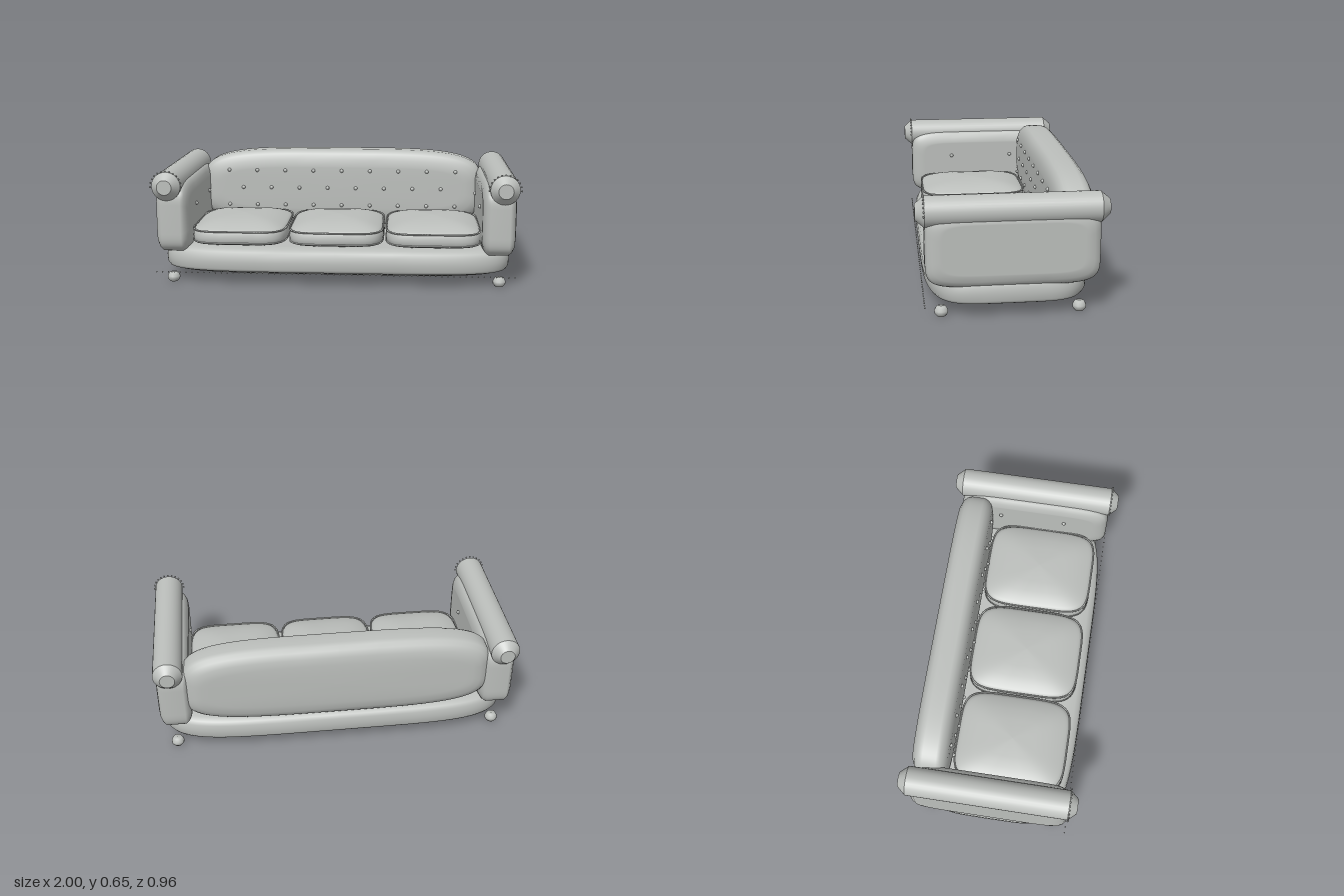
import * as THREE from 'three';
import { mergeGeometries } from 'three/addons/utils/BufferGeometryUtils.js';

const upholstery = new THREE.MeshStandardMaterial({ color: 0xbcbfbc });
upholstery.name = 'grey upholstery';

// Point on a rounded-rectangle (superellipse) outline
function outline(a, b, n, t) {
  const c = Math.cos(t), s = Math.sin(t);
  return [
    a * Math.sign(c) * Math.abs(c) ** (2 / n),
    b * Math.sign(s) * Math.abs(s) ** (2 / n),
  ];
}

// Soft padded block: outlines stacked along y by [inset, height], closed with domed caps
function pad(a, b, n, profile, crownTop = 0, crownBottom = 0, seg = 96) {
  const first = profile[0], last = profile[profile.length - 1];
  const caps = [0.95, 0.85, 0.7, 0.45, 0.001];
  const dome = ([inset, y], crown) => caps.map((s) => [inset, y + crown * (1 - s ** 3), s]);
  const rings = [
    ...dome(first, -crownBottom).reverse(),
    ...profile.map(([inset, y]) => [inset, y, 1]),
    ...dome(last, crownTop),
  ];
  const pos = [], index = [];
  rings.forEach(([inset, y, s], i) => {
    for (let j = 0; j < seg; j++) {
      const [x, z] = outline((a - inset) * s, (b - inset) * s, n, (j / seg) * Math.PI * 2);
      pos.push(x, y, z);
      if (i === rings.length - 1) continue;
      const p = i * seg + j, q = i * seg + ((j + 1) % seg);
      index.push(p, p + seg, q, q, p + seg, q + seg);
    }
  });
  const g = new THREE.BufferGeometry();
  g.setAttribute('position', new THREE.Float32BufferAttribute(pos, 3));
  g.setIndex(index);
  g.computeVertexNormals();
  return g;
}

// Thin cord following an outline at height y
function piping(a, b, n, y, r) {
  const pts = [];
  for (let j = 0; j < 64; j++) {
    const [x, z] = outline(a, b, n, (j / 64) * Math.PI * 2);
    pts.push(new THREE.Vector3(x, y, z));
  }
  return new THREE.TubeGeometry(new THREE.CatmullRomCurve3(pts, true), 128, r, 6, true);
}

// Many small round heads merged into one geometry
function studs(points, r) {
  return mergeGeometries(points.map(([x, y, z]) => new THREE.SphereGeometry(r, 10, 8).translate(x, y, z)));
}

export function createModel() {
  const group = new THREE.Group();
  const add = (name, geometry, x = 0, y = 0, z = 0) => {
    const m = new THREE.Mesh(geometry, upholstery);
    m.name = name;
    m.position.set(x, y, z);
    group.add(m);
    return m;
  };

  // Base with a recessed underside lip
  add('base', pad(0.97, 0.435, 5, [
    [0.12, 0.05], [0.07, 0.055], [0.04, 0.065], [0.03, 0.073], [0.012, 0.077], [0.003, 0.092],
    [0, 0.13], [0.004, 0.165], [0.015, 0.185], [0.04, 0.198], [0.08, 0.203],
  ]), 0, 0, 0.003);

  // Back rest, thinning toward its rim
  const back = pad(0.84, 0.2325, 4, [
    [0.1, -0.441], [0.06, -0.437], [0.025, -0.42], [0.008, -0.4], [0, -0.375],
    [0, -0.3], [0.008, -0.28], [0.025, -0.26], [0.06, -0.245], [0.1, -0.241],
  ], 0.002, 0.004);
  add('backRest', back.rotateX(Math.PI / 2), 0, 0.4225, 0);

  // Back buttons in staggered rows
  const buttons = [];
  [[0.53, 9], [0.425, 8], [0.32, 9]].forEach(([y, count]) => {
    for (let i = 0; i < count; i++) buttons.push([(i - (count - 1) / 2) * 0.17, y, -0.238]);
  });
  add('backButtons', studs(buttons, 0.011));

  // Three seat cushions with piped edges
  for (const x of [-0.54, 0, 0.54]) {
    add('seatCushion', pad(0.265, 0.315, 5, [
      [0.04, 0.208], [0.012, 0.216], [0.002, 0.228], [0, 0.25], [0.002, 0.275], [0.01, 0.29], [0.022, 0.297],
    ], 0.041), x, 0, 0.075);
    for (const y of [0.225, 0.29]) add('cushionPiping', piping(0.262, 0.312, 5, y, 0.005), x, 0, 0.075);
  }

  for (const side of [1, -1]) {
    // Arm panel, symmetric about its own middle
    const panel = pad(0.2, 0.436, 6, [
      [0.065, -0.09], [0.035, -0.084], [0.012, -0.07], [0, -0.053],
      [0, 0.053], [0.012, 0.07], [0.035, 0.084], [0.065, 0.09],
    ]);
    add('armPanel', panel.rotateZ(-Math.PI / 2), side * 0.89, 0.363, 0);

    // Rolled arm top with bevelled ends
    const roll = mergeGeometries([
      new THREE.CylinderGeometry(0.079, 0.079, 0.87, 32, 1, true),
      new THREE.CylinderGeometry(0.04, 0.079, 0.045, 32).translate(0, 0.4575, 0),
      new THREE.CylinderGeometry(0.079, 0.04, 0.045, 32).translate(0, -0.4575, 0),
    ]);
    add('armRoll', roll.rotateX(Math.PI / 2), side * 0.91, 0.549, 0);

    // Nail heads round the front of the roll
    const nails = [];
    for (let i = 0; i <= 12; i++) {
      const t = (i / 12) * Math.PI;
      nails.push([0.085 * Math.cos(t), 0.085 * Math.sin(t), 0]);
    }
    add('armNails', studs(nails, 0.005), side * 0.91, 0.547, 0.439);

    // Buttons on the inner face of the arm
    add('armButtons', studs([[0, 0, 0.18], [0, 0, -0.2]], 0.011), side * 0.798, 0.41, 0);

    // Bun feet
    for (const z of [0.357, -0.343]) {
      const foot = [[0, 0], [0.022, 0], [0.034, 0.015], [0.035, 0.03], [0.024, 0.05], [0, 0.05]]
        .map(([r, y]) => new THREE.Vector2(r, y));
      add('foot', new THREE.LatheGeometry(foot, 16), side * 0.9, 0.002, z);
    }
  }

  // Row of nail heads along the lower front edge
  const row = [];
  for (let i = -30; i <= 30; i++) row.push([i * 0.0325, 0.074, 0.441]);
  add('frontNails', studs(row, 0.004));

  return group;
}
